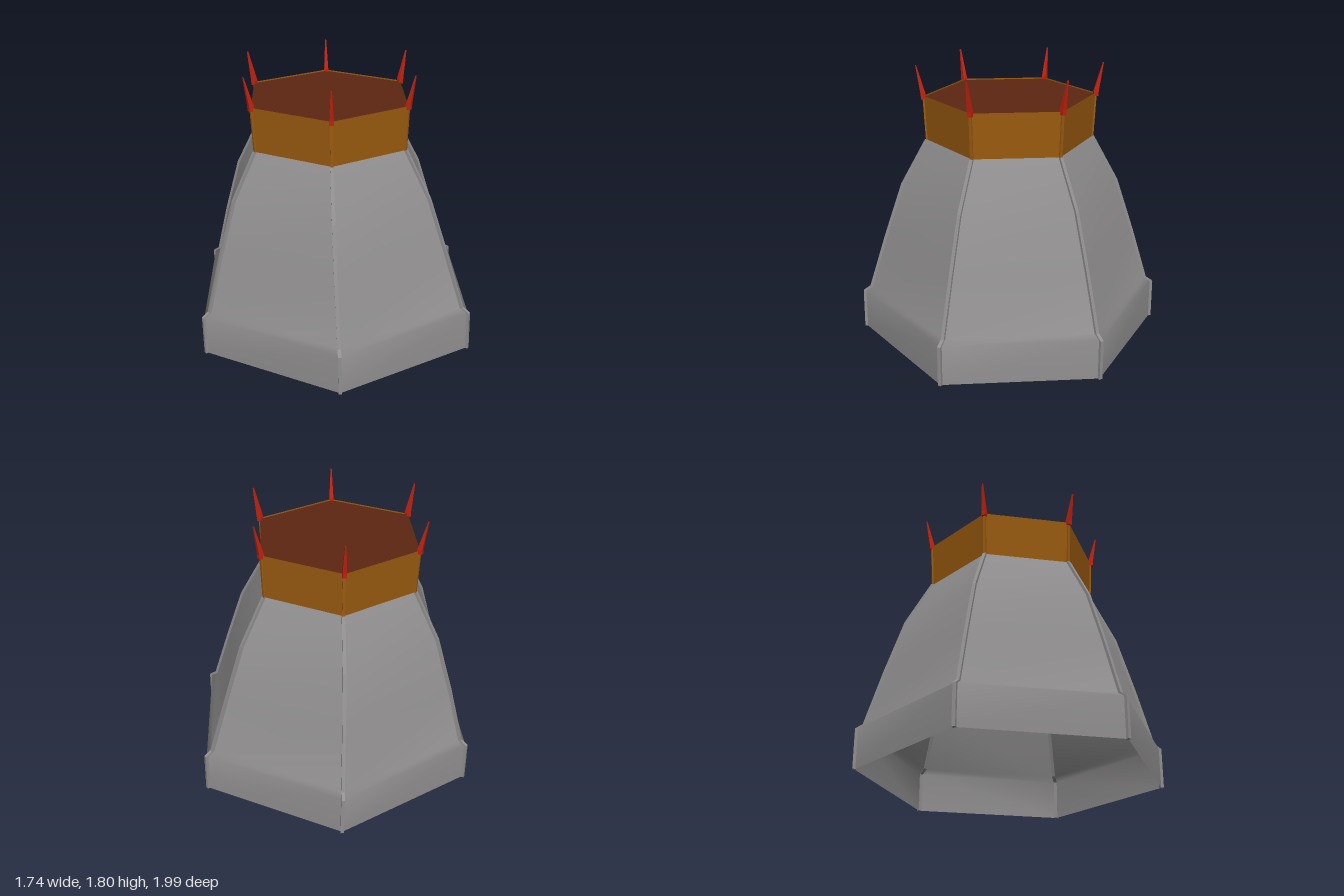
import * as THREE from 'three';

const grey = new THREE.MeshStandardMaterial({ color: 0x918f8f, side: THREE.DoubleSide });
grey.name = 'grey metal';
const orange = new THREE.MeshStandardMaterial({ color: 0x9c5c10, side: THREE.DoubleSide });
orange.name = 'orange band';
const brown = new THREE.MeshStandardMaterial({ color: 0x5c2610, side: THREE.DoubleSide });
brown.name = 'dark brown';
const red = new THREE.MeshStandardMaterial({ color: 0xc0220f });
red.name = 'red';

const SIDES = 6;
// Profiles as [corner radius, height, sideways drift of the centre]
const shellProfile = [[0.985, 0, 0], [0.985, 0.26, -0.004], [0.94, 0.29, -0.006], [0.83, 0.65, -0.02], [0.71, 1.01, -0.03], [0.545, 1.31, -0.035]];
const bandProfile = [[0.545, 1.31, -0.035], [0.56, 1.6, -0.038]];

// Corner point k of the hexagon, pushed out radially and shifted along the tangent
function corner([r, y, cx], k, out = 0, side = 0) {
  const a = (k * Math.PI * 2) / SIDES;
  const s = Math.sin(a), c = Math.cos(a);
  return [cx + s * (r + out) + c * side, y, cx * 0.2 + c * (r + out) - s * side];
}

function build(points, index, flat) {
  let g = new THREE.BufferGeometry();
  g.setAttribute('position', new THREE.Float32BufferAttribute(points.flat(), 3));
  g.setIndex(index);
  if (flat) g = g.toNonIndexed();
  g.computeVertexNormals();
  return g;
}

// One side wall, smooth up the profile and sharp at the corners
function panel(profile, k) {
  const points = [], index = [];
  profile.forEach((row, i) => {
    points.push(corner(row, k), corner(row, k + 1));
    if (i) {
      const b = 2 * i - 2;
      index.push(b, b + 1, b + 3, b, b + 3, b + 2);
    }
  });
  return build(points, index, false);
}

// Four-sided bar following a corner; sizes = [inner, outer, half width] per row
function bar(profile, k, sizes) {
  const points = [], index = [];
  profile.forEach((row, i) => {
    const [inner, outer, w] = sizes(i);
    points.push(corner(row, k, inner, -w), corner(row, k, outer, -w), corner(row, k, outer, w), corner(row, k, inner, w));
    if (i) {
      const b = 4 * i - 4;
      for (let j = 0; j < 4; j++) {
        const n = (j + 1) % 4;
        index.push(b + j, b + n, b + 4 + n, b + j, b + 4 + n, b + 4 + j);
      }
    }
  });
  const t = points.length - 4;
  index.push(0, 2, 1, 0, 3, 2, t, t + 1, t + 2, t, t + 2, t + 3);
  return build(points, index, true);
}

export function createModel() {
  const model = new THREE.Group();
  const add = (name, geometry, material) => {
    const mesh = new THREE.Mesh(geometry, material);
    mesh.name = name;
    model.add(mesh);
  };

  for (let k = 0; k < SIDES; k++) {
    add('shellPanel', panel(shellProfile, k), grey);
    add('bandPanel', panel(bandProfile, k), orange);
    // Raised seams on the corners
    add('shellRib', bar(shellProfile, k, () => [-0.012, 0.012, 0.011]), grey);
    add('bandRib', bar(bandProfile, k, () => [-0.008, 0.006, 0.009]), orange);
    // Spikes leaning outward from the rim
    const spikeProfile = [[0.56, 1.58, -0.038], [0.561, 1.61, -0.038], [0.604, 1.8, -0.04]];
    add('spike', bar(spikeProfile, k, (i) => (i < 2 ? [-0.016, 0.016, 0.014] : [-0.003, 0.003, 0.004])), red);
  }

  // Dark mouth inside the band
  const ring = [], fan = [];
  for (let k = 0; k < SIDES; k++) {
    ring.push(corner([0.558, 1.592, -0.038], k));
    fan.push(SIDES, k, (k + 1) % SIDES);
  }
  ring.push([-0.038, 1.592, -0.008]);
  add('mouth', build(ring, fan, true), brown);

  return model;
}
